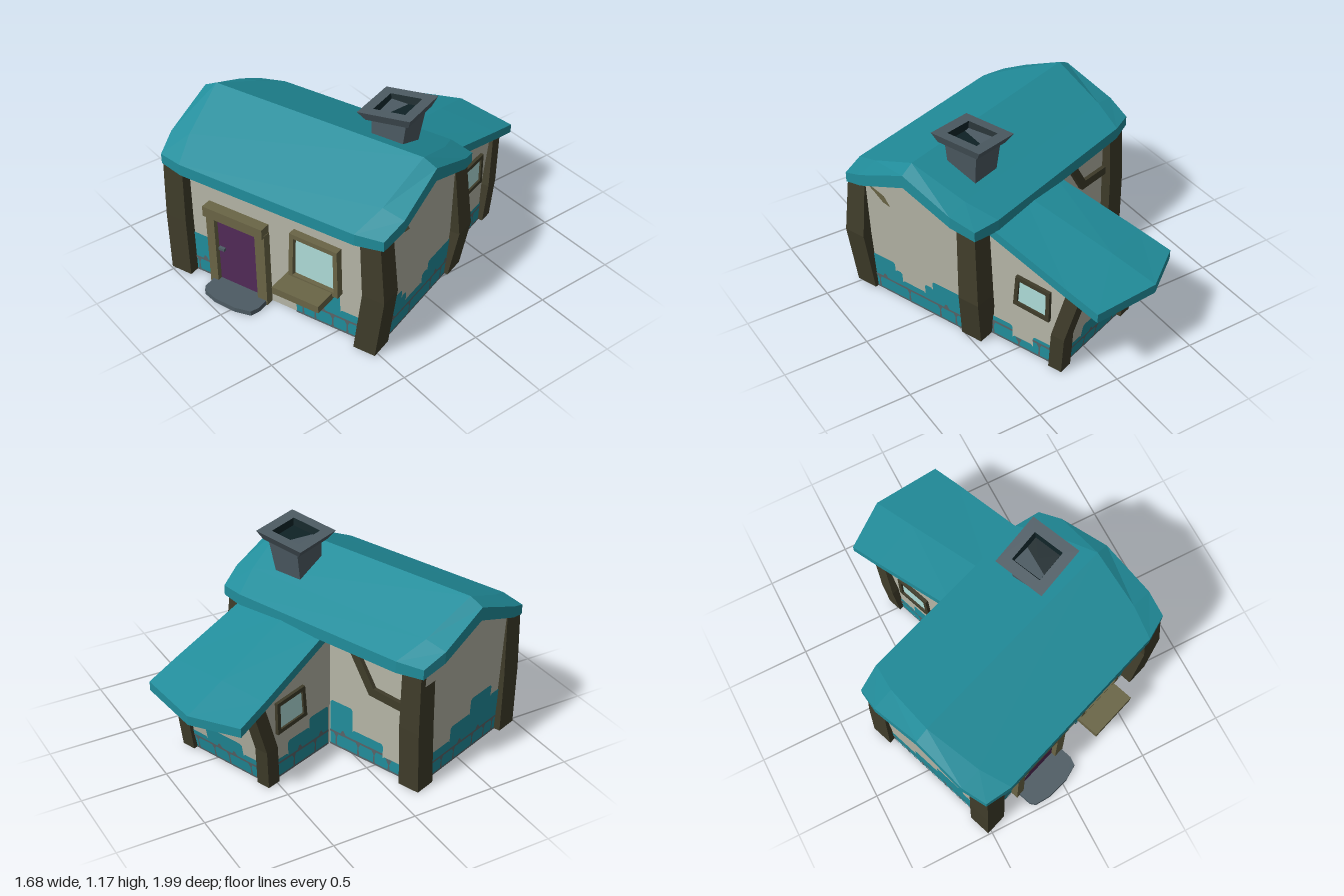
import * as THREE from 'three';

const mat = (name, color) => {
  const m = new THREE.MeshStandardMaterial({ color, side: THREE.DoubleSide });
  m.name = name;
  return m;
};
const M = {
  teal: mat('teal', 0x218d9b), plaster: mat('plaster', 0xb5b5a6),
  timber: mat('dark timber', 0x3f3c2a), frame: mat('frame wood', 0x6a6546),
  door: mat('plum door', 0x522a57), glass: mat('glass', 0xaedcd8),
  stone: mat('stone', 0x4d5b63), soot: mat('soot', 0x0f2226), mortar: mat('mortar', 0x596468),
};

function add(parent, name, geo, material, x = 0, y = 0, z = 0) {
  const mesh = new THREE.Mesh(geo, material);
  mesh.name = name;
  mesh.position.set(x, y, z);
  parent.add(mesh);
  return mesh;
}

// Flat-shaded solid through matching loops of points; the end caps are strips of quads
function loft(rows) {
  const tris = [], n = rows[0].length;
  const quad = (a, b, c, d) => tris.push([a, b, c], [a, c, d]);
  for (let r = 0; r + 1 < rows.length; r++)
    for (let i = 0; i < n; i++) {
      const j = (i + 1) % n;
      quad(rows[r][i], rows[r][j], rows[r + 1][j], rows[r + 1][i]);
    }
  const A = rows[0], B = rows[rows.length - 1];
  for (let i = 0; i < n / 2 - 1; i++) {
    quad(A[n - 1 - i], A[n - 2 - i], A[i + 1], A[i]);
    quad(B[i], B[i + 1], B[n - 2 - i], B[n - 1 - i]);
  }
  // turn the solid right side out
  const v = (p) => new THREE.Vector3(...p);
  const volume = tris.reduce((s, [a, b, c]) => s + v(a).dot(v(b).cross(v(c))), 0);
  if (volume < 0) tris.forEach((t) => t.reverse());
  const g = new THREE.BufferGeometry();
  g.setAttribute('position', new THREE.Float32BufferAttribute(tris.flat(2), 3));
  g.computeVertexNormals();
  return g;
}

const shape = (pts) => new THREE.Shape(pts.map(([x, y]) => new THREE.Vector2(x, y)));
const flat = (pts) => new THREE.ShapeGeometry(shape(pts));
const rect = (x0, y0, x1, y1) => [[x0, y0], [x1, y0], [x1, y1], [x0, y1]];

// Bent square post along a path of [x, y, z, halfWidth]
const post = (path) => loft(path.map(([x, y, z, h]) =>
  [[x - h, y, z - h], [x + h, y, z - h], [x + h, y, z + h], [x - h, y, z + h]]));

// Wall plane: a group whose local z points outward
function wall(parent, name, pts, x, z, turn, lean = 0) {
  const g = new THREE.Group();
  g.name = name;
  g.position.set(x, 0, z);
  g.rotation.set(lean, turn, 0, 'YXZ');
  parent.add(g);
  add(g, name + 'Plaster', flat(pts), M.plaster);
  return g;
}

// Exposed brickwork with a stepped top: steps are [x0, x1, height]; shown on both wall faces
function bricks(w, steps) {
  const pts = [[steps[0][0], 0]];
  steps.forEach(([a, b, h]) => pts.push([a, h - 0.012], [a + 0.012, h], [b - 0.012, h], [b, h - 0.012]));
  pts.push([steps[steps.length - 1][1], 0]);
  for (const s of [-1, 1]) {
    add(w, 'exposedBricks', flat(pts), M.teal, 0, 0, s * 0.004);
    const seam = (p) => add(w, 'mortarSeam', flat(p), M.mortar, 0, 0, s * 0.007);
    steps.forEach(([a, b, h]) => {
      if (h > 0.1) seam(rect(a, 0.088, b, 0.102));
      seam(rect(a, 0, b, 0.012));
      // wedge-shaped joints between the bricks of the lower course, staggered above
      for (let x = a + 0.03; x + 0.04 < b; x += 0.115) {
        const top = Math.min(0.1, h);
        seam([[x + 0.008, 0], [x + 0.024, 0], [x + 0.02, top - 0.035], [x + 0.036, top], [x - 0.008, top], [x + 0.012, top - 0.035]]);
        if (h > 0.18 && x + 0.09 < b) seam([[x + 0.045, 0.1], [x + 0.085, 0.1], [x + 0.07, 0.125], [x + 0.058, 0.125]]);
      }
    });
  }
}

// Framed window centred at x, y on a wall
function windowOn(w, x, y, width, height, border, depth, material, tilt = 0) {
  const g = new THREE.Group();
  g.name = 'window';
  g.position.set(x, y, 0);
  g.rotation.z = tilt;
  w.add(g);
  const a = width / 2, b = height / 2, c = a - border, d = b - border;
  const s = shape([[-a, -b], [a, -b], [a * 0.94, b], [-a * 0.94, b]]);
  const pane = [[-c, -d], [c, -d], [c * 0.95, d], [-c * 0.95, d]];
  s.holes.push(shape([...pane].reverse()));
  add(g, 'windowFrame', new THREE.ExtrudeGeometry(s, { depth, bevelEnabled: false }), material);
  add(g, 'windowPane', flat(pane), M.glass, 0, 0, depth * 0.4);
}

export function createModel() {
  const root = new THREE.Group();
  root.name = 'cottage';
  const house = new THREE.Group();
  house.name = 'house';
  house.position.set(-0.015, 0, 0.31);
  house.rotation.y = THREE.MathUtils.degToRad(20);
  root.add(house);

  // Main walls; the gables lean out to the roof edge
  const gable = [[-0.41, 0], [0.41, 0], [0.41, 0.76], [0, 0.93], [-0.41, 0.76]];
  const front = wall(house, 'frontWall', rect(-0.66, 0, 0.65, 0.77), 0, 0.4, 0);
  const back = wall(house, 'backWall', rect(-0.65, 0, 0.66, 0.77), 0, -0.4, Math.PI);
  const left = wall(house, 'leftGable', gable, 0.645, 0, Math.PI / 2, 0.06);
  const right = wall(house, 'rightGable', gable, -0.665, 0, -Math.PI / 2, 0.045);
  bricks(front, [[-0.6, -0.44, 0.27]]);
  bricks(front, [[0.12, 0.2, 0.13], [0.2, 0.41, 0.25], [0.41, 0.6, 0.15]]);
  bricks(left, [[-0.36, -0.18, 0.25], [-0.18, -0.13, 0.2], [-0.13, 0.04, 0.14], [0.04, 0.1, 0.2], [0.1, 0.36, 0.25]]);
  bricks(right, [[-0.36, -0.13, 0.16], [-0.13, 0.05, 0.25], [0.05, 0.25, 0.35], [0.25, 0.36, 0.28]]);
  bricks(back, [[0.04, 0.2, 0.3], [0.2, 0.42, 0.16], [0.42, 0.6, 0.08]]);

  // Worn plaster and the bent beam on the back wall
  add(left, 'wornPlaster', flat([[-0.34, 0.78], [-0.2, 0.73], [-0.16, 0.67], [-0.21, 0.68], [-0.27, 0.73]]), M.frame, 0, 0, 0.005);
  add(left, 'wornPlaster', flat([[-0.04, 0.9], [0.08, 0.87], [0.04, 0.85], [0, 0.87]]), M.frame, 0, 0, 0.005);
  add(front, 'wornPlaster', flat([[0.555, 0.16], [0.6, 0.16], [0.6, 0.72], [0.565, 0.72], [0.57, 0.45]]), M.frame, 0, 0, 0.005);
  const beam = shape([[0.15, 0.75], [0.33, 0.46], [0.62, 0.44], [0.62, 0.49], [0.36, 0.51], [0.21, 0.75]]);
  add(back, 'bentBeam', new THREE.ExtrudeGeometry(beam, { depth: 0.025, bevelEnabled: false }), M.timber);

  // Corner posts: nearly straight on the right, bowed on the left
  add(house, 'cornerPost', post([[-0.642, 0, 0.4, 0.068], [-0.645, 0.38, 0.4, 0.068], [-0.64, 0.76, 0.395, 0.065]]), M.timber);
  add(house, 'cornerPost', post([[-0.642, 0, -0.39, 0.066], [-0.635, 0.38, -0.395, 0.066], [-0.63, 0.76, -0.385, 0.062]]), M.timber);
  add(house, 'cornerPost', post([[0.605, 0, 0.405, 0.068], [0.665, 0.4, 0.412, 0.068], [0.635, 0.76, 0.4, 0.062]]), M.timber);
  add(house, 'cornerPost', post([[0.605, 0, -0.385, 0.068], [0.655, 0.3, -0.41, 0.068], [0.63, 0.76, -0.378, 0.062]]), M.timber);

  // Main roof: half a slope at the ridge end and further in, mirrored both ways
  const edge = [[0.715, 0.79, 0.46, 0.73], [0.75, 0.85, 0.32, 0.78], [0.75, 0.98, 0, 0.9]];
  const inner = [[0.56, 0.8, 0.497, 0.73], [0.62, 0.878, 0.32, 0.8], [0.67, 1.02, 0, 0.93]];
  const roofRow = (half, s) => {
    const all = [...half, ...half.slice(0, 2).reverse().map(([x, t, z, b]) => [x, t, -z, b])];
    return [...all.map(([x, t, z]) => [s * x, t, z]), ...all.reverse().map(([x, , z, b]) => [s * x, b, z])];
  };
  add(house, 'mainRoof', loft([roofRow(edge, -1), roofRow(inner, -1), roofRow(inner, 1), roofRow(edge, 1)]), M.teal);

  // Chimney: stack and tilted, flared cap
  const chimney = new THREE.Group();
  chimney.name = 'chimney';
  chimney.position.set(0.393, 0, -0.196);
  house.add(chimney);
  add(chimney, 'chimneyStack', post([[-0.01, 0.84, 0.015, 0.088], [0.005, 1.1, -0.005, 0.107]]), M.stone);
  const square = (pts) => {
    const g = new THREE.LatheGeometry(pts.map(([x, y]) => new THREE.Vector2(x, y)), 4, Math.PI / 4).toNonIndexed();
    g.computeVertexNormals();
    return g;
  };
  const cap = new THREE.Group();
  cap.name = 'chimneyCap';
  cap.position.y = 1.142;
  cap.rotation.set(-0.05, 0.04, 0.13);
  chimney.add(cap);
  add(cap, 'capRim', square([[0.13, -0.055], [0.183, -0.055], [0.225, 0], [0.136, 0]]), M.stone);
  add(cap, 'flue', square([[0, -0.04], [0.12, -0.04], [0.136, 0]]), M.soot);

  // Door with frame, handle and step
  add(front, 'door', new THREE.BoxGeometry(0.28, 0.45, 0.02), M.door, -0.25, 0.255, 0.011);
  for (const [x, width] of [[-0.415, 0.055], [-0.08, 0.065]])
    add(front, 'doorJamb', new THREE.BoxGeometry(width, 0.49, 0.05), M.frame, x, 0.245, 0.026);
  add(front, 'doorLintel', new THREE.BoxGeometry(0.4, 0.065, 0.065), M.frame, -0.25, 0.51, 0.034);
  add(front, 'doorHandle', new THREE.BoxGeometry(0.04, 0.016, 0.02), M.stone, -0.36, 0.257, 0.03);
  const step = shape([[-0.42, -0.38], [-0.42, -0.53], [-0.4, -0.56], [-0.31, -0.587], [-0.17, -0.592], [-0.075, -0.57], [-0.055, -0.52], [-0.055, -0.38]]);
  const stepGeo = new THREE.ExtrudeGeometry(step, { depth: 0.03, bevelEnabled: false }).rotateX(-Math.PI / 2);
  add(house, 'doorStep', stepGeo, M.stone);

  // Front window with deep sill
  windowOn(front, 0.265, 0.425, 0.32, 0.31, 0.028, 0.045, M.frame, -0.02);
  add(front, 'windowSill', new THREE.BoxGeometry(0.3, 0.045, 0.175), M.frame, 0.235, 0.267, 0.0885);

  // Annex walls: the back one leans outward
  const lean = Math.atan(0.09 / 0.52);
  const side = [[0.38, 0], [0.92, 0], [1.01, 0.53], [0.38, 0.72]];
  const annexLeft = wall(house, 'annexLeftWall', side, 0.57, 0, Math.PI / 2);
  const annexRight = wall(house, 'annexRightWall', side.map(([x, y]) => [-x, y]).reverse(), -0.03, 0, -Math.PI / 2);
  const annexBack = wall(house, 'annexBackWall', rect(-0.3, 0, 0.3, 0.54), 0.27, -0.92, Math.PI, lean);
  bricks(annexLeft, [[0.42, 0.6, 0.13], [0.6, 0.74, 0.06], [0.74, 0.92, 0.12]]);
  bricks(annexRight, [[-0.92, -0.76, 0.12], [-0.76, -0.58, 0.2], [-0.58, -0.42, 0.26]]);
  bricks(annexBack, [[-0.27, -0.14, 0.13], [-0.14, 0.14, 0.21], [0.14, 0.27, 0.14]]);
  windowOn(annexLeft, 0.74, 0.4, 0.24, 0.2, 0.025, 0.02, M.timber, -0.05);
  windowOn(annexRight, -0.74, 0.4, 0.24, 0.2, 0.025, 0.02, M.timber, 0.05);
  windowOn(annexBack, 0, 0.39, 0.24, 0.2, 0.025, 0.02, M.timber);
  for (const s of [-1, 1])
    add(house, 'annexPost', post([[0.27 + s * 0.29, 0, -0.91, 0.043], [0.27 + s * 0.305, 0.25, -0.935, 0.043],
      [0.27 + s * 0.28, 0.53, -1.005, 0.043]]), M.timber);

  // Annex lean-to roof with a bowed eave
  const annexRow = (pts) => [...pts, ...pts.map(([x, y, z]) => [x, y - 0.055, z]).reverse()];
  add(house, 'annexRoof', loft([
    annexRow([[-0.03, 0.75, -0.42], [0.25, 0.77, -0.42], [0.58, 0.755, -0.42]]),
    annexRow([[-0.075, 0.58, -0.98], [0.22, 0.605, -1.0], [0.6, 0.585, -0.98]]),
    annexRow([[-0.087, 0.52, -1.18], [0.21, 0.52, -1.275], [0.603, 0.525, -1.175]]),
  ]), M.teal);

  return root;
}
